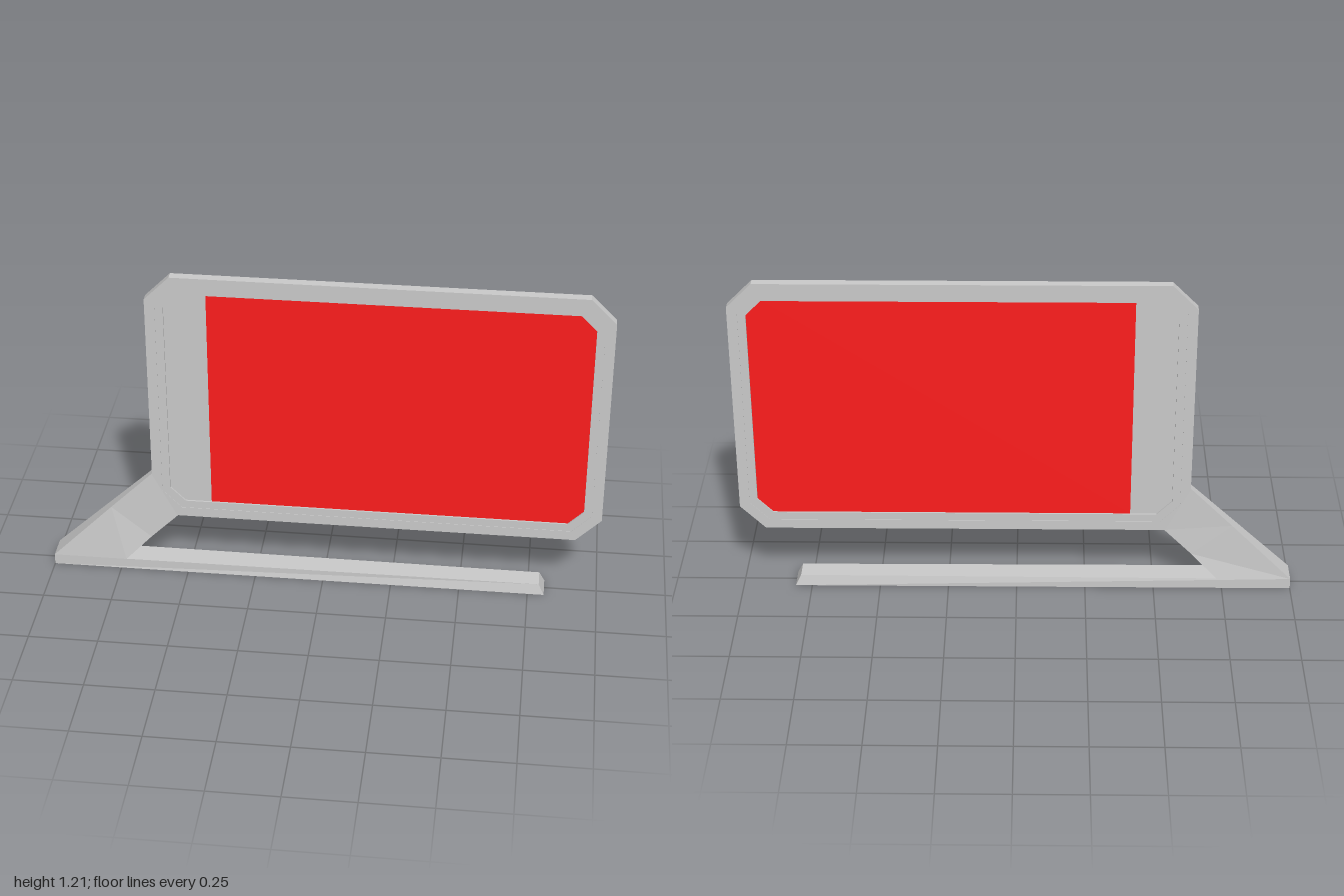
import * as THREE from 'three';

const grey = new THREE.MeshStandardMaterial({ color: 0xcccccc, flatShading: true });
const red = new THREE.MeshStandardMaterial({ color: 0xff1d1d, flatShading: true });

// Rectangle with its left and right corners cut at 45 degrees
function cutRect(x0, x1, y0, y1, cutL, cutR) {
  const pts = [
    [x0 + cutL, y0], [x1 - cutR, y0], [x1, y0 + cutR], [x1, y1 - cutR],
    [x1 - cutR, y1], [x0 + cutL, y1], [x0, y1 - cutL], [x0, y0 + cutL],
  ].map(([x, y]) => new THREE.Vector2(x, y));
  return pts.filter((p, i) => !p.equals(pts[(i + 1) % pts.length]));
}

// Frame outline moved inwards by d
const outline = (d, cut) => cutRect(-0.625 + d, 1 - d, 0.23 + d, 1.21 - d, cut, cut);

// Plate centred on z = 0, with an optional opening
function plate(name, points, hole, halfDepth, material) {
  const shape = new THREE.Shape(points);
  if (hole) shape.holes.push(new THREE.Path(hole));
  const geo = new THREE.ExtrudeGeometry(shape, { depth: 2 * halfDepth, bevelEnabled: false });
  geo.translate(0, 0, -halfDepth);
  const mesh = new THREE.Mesh(geo, material);
  mesh.name = name;
  return mesh;
}

// Solid through four-cornered cross-sections
function loft(name, sections) {
  const pos = [];
  const quad = (a, b, c, d) => pos.push(...a, ...b, ...c, ...a, ...c, ...d);
  for (let i = 0; i < sections.length - 1; i++) {
    const s = sections[i], t = sections[i + 1];
    for (let k = 0; k < 4; k++) {
      const n = (k + 1) % 4;
      quad(s[k], t[k], t[n], s[n]);
    }
  }
  quad(...sections[0]);
  quad(...[...sections[sections.length - 1]].reverse());
  const geo = new THREE.BufferGeometry();
  geo.setAttribute('position', new THREE.Float32BufferAttribute(pos, 3));
  geo.computeVertexNormals();
  const mesh = new THREE.Mesh(geo, grey);
  mesh.name = name;
  return mesh;
}

export function createModel() {
  const group = new THREE.Group();
  group.name = 'signOnStand';

  // Screen frame: outer ring and a slightly lower inner lip
  group.add(plate('outerFrame', outline(0, 0.09), outline(0.036, 0.07), 0.017, grey));
  group.add(plate('innerLip', outline(0.036, 0.07), outline(0.065, 0.055), 0.0155, grey));

  // Recessed screen: grey side strip and red panel, seen from both sides
  group.add(plate('sideStrip', cutRect(-0.56, -0.41, 0.295, 1.145, 0.055, 0), null, 0.009, grey));
  group.add(plate('redPanel', cutRect(-0.41, 0.935, 0.295, 1.145, 0, 0.055), null, 0.009, red));

  // Base bar with a slanted free end, its top narrowing towards that end
  const barEnd = (xBottom, xTop, w, wTop) => [
    [xBottom, 0, -w], [xBottom, 0, w], [xTop, 0.04, wTop], [xTop, 0.04, -wTop],
  ];
  group.add(loft('baseBar', [barEnd(-1, -1, 0.046, 0.046), barEnd(0.81, 0.79, 0.046, 0.038)]));

  // Slanted arm, thinning from the base up to the frame
  const armCut = (xo, yo, xi, yi, w) => [[xo, yo, -w], [xi, yi, -w], [xi, yi, w], [xo, yo, w]];
  group.add(loft('arm', [
    armCut(-1, 0.04, -0.73, 0.04, 0.046),
    armCut(-0.78, 0.255, -0.635, 0.135, 0.027),
    armCut(-0.625, 0.405, -0.535, 0.23, 0.0168),
  ]));

  return group;
}
